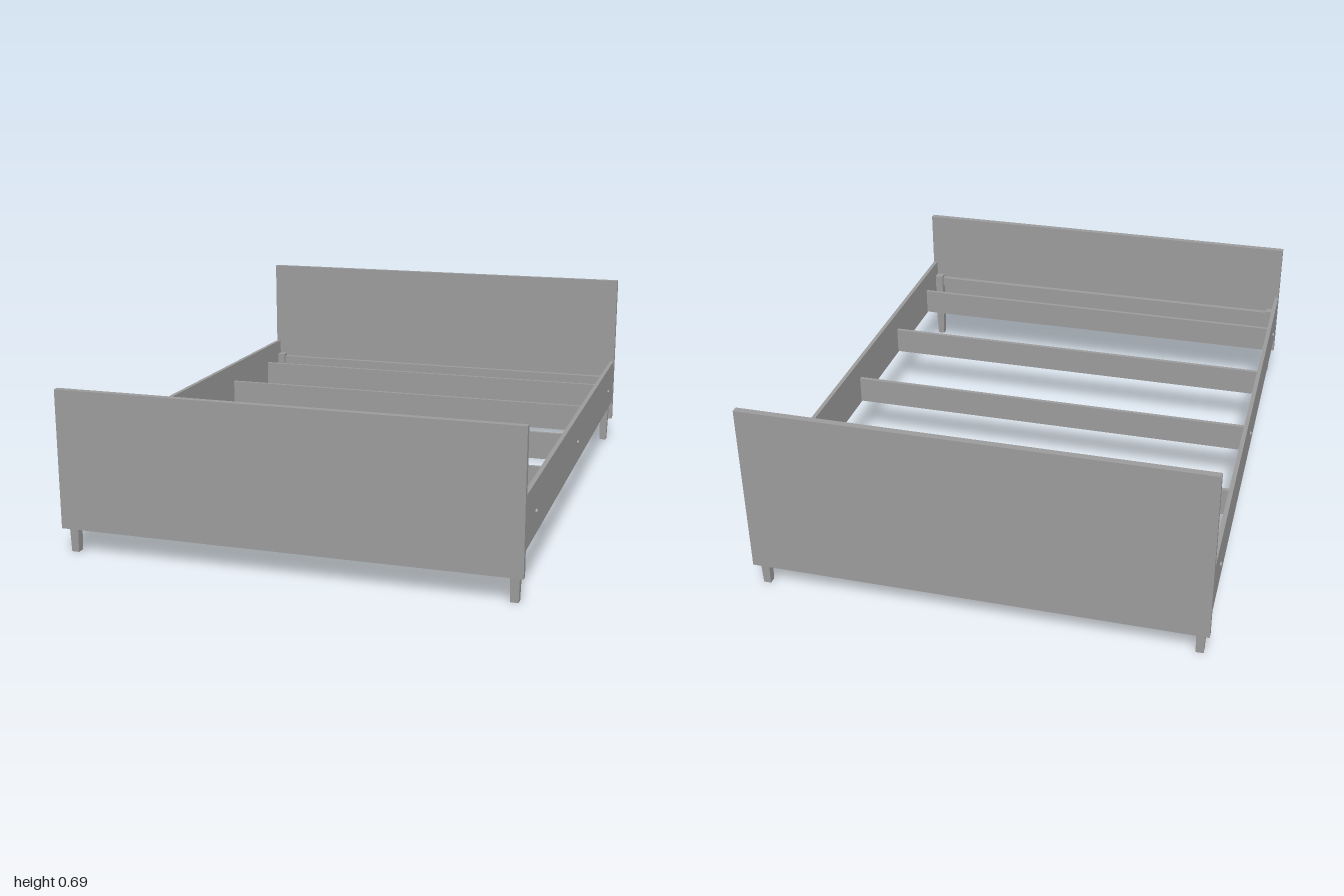
import * as THREE from 'three';

export function createModel() {
  const bed = new THREE.Group();
  bed.name = 'bedFrame';
  const material = new THREE.MeshStandardMaterial({ color: 0x9b9b9b, flatShading: true });

  const add = (name, geometry, x = 0, y = 0, z = 0) => {
    const mesh = new THREE.Mesh(geometry, material);
    mesh.name = name;
    mesh.position.set(x, y, z);
    bed.add(mesh);
    return mesh;
  };

  // Box given by its extents on each axis
  const slab = (name, [x0, x1], [y0, y1], [z0, z1]) =>
    add(name, new THREE.BoxGeometry(x1 - x0, y1 - y0, z1 - z0),
      (x0 + x1) / 2, (y0 + y1) / 2, (z0 + z1) / 2);

  // End panels
  slab('headboard', [-0.776, 0.776], [0.088, 0.692], [-1, -0.977]);
  slab('footboard', [-0.776, 0.776], [0.088, 0.562], [0.977, 1]);

  // Square leg: straight upper block, tapering below the shoulder
  const legTop = 0.287, shoulder = 0.11;
  const legGeometry = new THREE.BoxGeometry(0.032, legTop, 0.032, 1, 2, 1);
  const p = legGeometry.attributes.position;
  for (let i = 0; i < p.count; i++) {
    const y = p.getY(i);
    const taper = y < -0.01 ? 0.8 : 1;
    const newY = y < -0.01 ? 0 : y > 0.01 ? legTop : shoulder;
    p.setXYZ(i, p.getX(i) * taper, newY, p.getZ(i) * taper);
  }
  legGeometry.computeVertexNormals();

  for (const s of [-1, 1]) {
    // Side rails
    slab(s > 0 ? 'leftSideRail' : 'rightSideRail',
      [s * 0.7675 - 0.0075, s * 0.7675 + 0.0075], [0.168, 0.345], [-0.977, 0.977]);

    // Cleats on the inner faces of the end panels
    slab(s > 0 ? 'footCleat' : 'headCleat',
      [-0.73, 0.73], [0.238, 0.276], [s * 0.9675 - 0.0095, s * 0.9675 + 0.0095]);

    for (const t of [-1, 1]) add('leg', legGeometry, s * 0.745, 0, t * 0.961);

    // Bolt heads on the outside of the rails
    for (const z of [-0.82, 0, 0.82]) {
      const bolt = add('bolt', new THREE.CylinderGeometry(0.006, 0.0085, 0.006, 16), s * 0.778, 0.245, z);
      bolt.rotation.z = -s * Math.PI / 2;
    }
  }

  // Cross slats standing on edge
  for (const z of [-0.82, -0.432, 0, 0.432, 0.82])
    slab('slat', [-0.76, 0.76], [0.172, 0.272], [z - 0.007, z + 0.007]);

  return bed;
}
